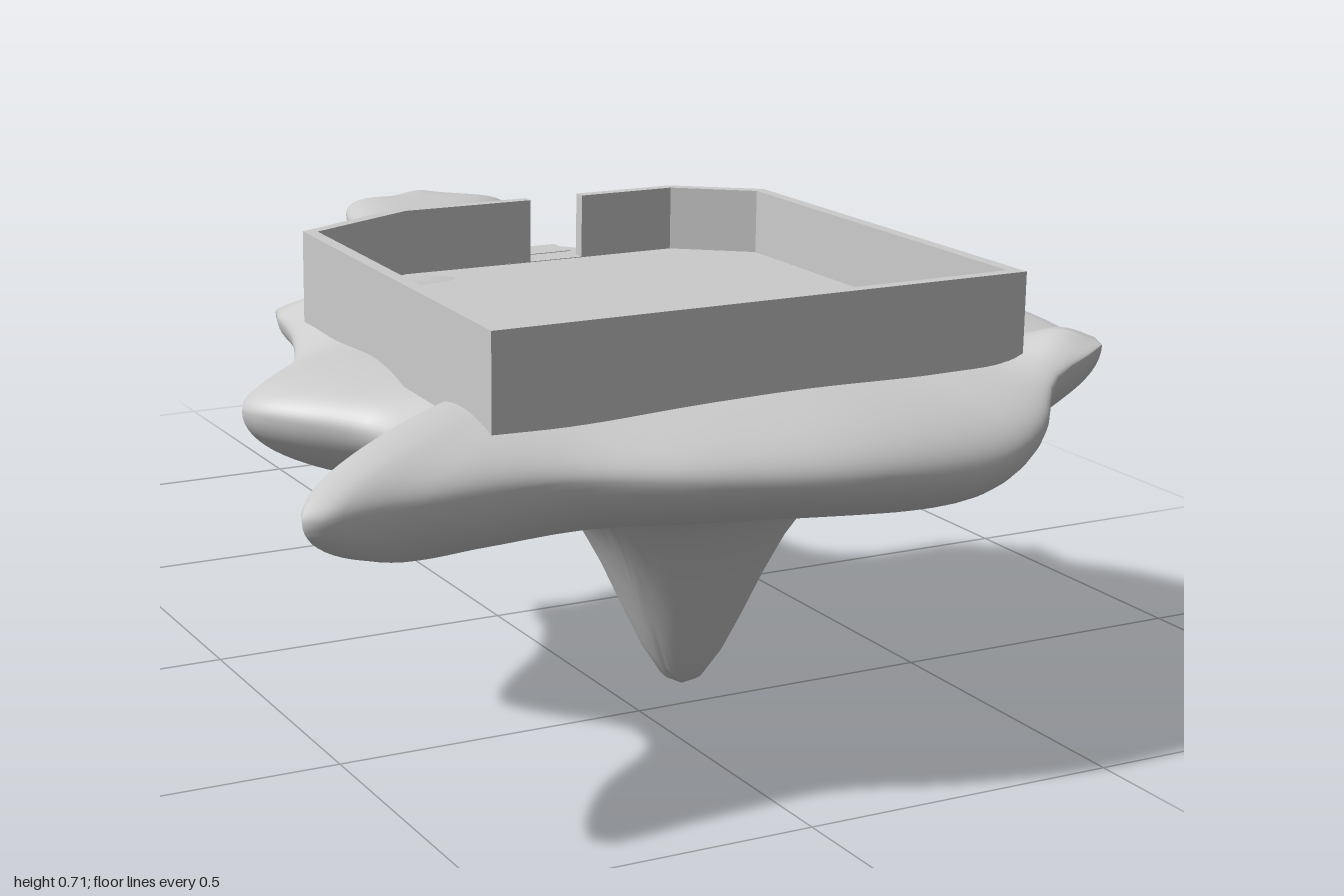
import * as THREE from 'three';
import { mergeVertices } from 'three/addons/utils/BufferGeometryUtils.js';

const material = new THREE.MeshStandardMaterial({ color: 0xcccccc, side: THREE.DoubleSide });
const bump = (x, z, cx, cz, rx, rz = rx, p = 1) =>
  Math.exp(-Math.pow(((x - cx) / rx) ** 2 + ((z - cz) / rz) ** 2, p));
const smooth = THREE.MathUtils.smoothstep;

function addMesh(group, name, geometry) {
  const mesh = new THREE.Mesh(geometry, material);
  mesh.name = name;
  group.add(mesh);
}

// Rock lofted from a closed rim [x, z, y]: rings shrink to the centre above and below.
function rock({ rim, centre, top, under, segments, rings }) {
  const curve = new THREE.CatmullRomCurve3(
    rim.map(([x, z, y]) => new THREE.Vector3(x, y, z)), true, 'centripetal');
  const outline = curve.getSpacedPoints(segments).slice(0, segments);
  const positions = [], index = [];
  for (let j = 0; j <= 2 * rings; j++) {
    const s = j === 2 * rings ? 0 : Math.sin((j / rings) * Math.PI / 2);
    const upper = j <= rings;
    const rise = Math.sqrt(Math.max(0, 1 - Math.pow(s, upper ? 4 : 3)));
    for (const p of outline) {
      const x = centre[0] + (p.x - centre[0]) * s;
      const z = centre[1] + (p.z - centre[1]) * s;
      const goal = upper ? top(x, z) : under(x, z);
      positions.push(x, p.y + (goal - p.y) * rise, z);
    }
  }
  for (let j = 0; j < 2 * rings; j++) {
    for (let i = 0; i < segments; i++) {
      const n = (i + 1) % segments;
      const a = j * segments + i, b = j * segments + n;
      const c = a + segments, d = b + segments;
      index.push(a, d, c, a, b, d);
    }
  }
  const geometry = new THREE.BufferGeometry();
  geometry.setAttribute('position', new THREE.Float32BufferAttribute(positions, 3));
  geometry.setIndex(index);
  const merged = mergeVertices(geometry, 1e-5);
  merged.computeVertexNormals();
  return merged;
}

// Plan outline [x, z] extruded downward from a given height.
function slab(points, topY, depth) {
  const shape = new THREE.Shape(points.map(([x, z]) => new THREE.Vector2(x, z)));
  return new THREE.ExtrudeGeometry(shape, { depth, bevelEnabled: false })
    .rotateX(Math.PI / 2).translate(0, topY, 0);
}

export function createModel() {
  const model = new THREE.Group();
  model.name = 'floatingIslands';

  // Main island with one long hanging spike
  addMesh(model, 'mainIsland', rock({
    rim: [
      [-0.38, -0.03, 0.56], [-0.31, -0.02, 0.55], [-0.19, -0.05, 0.55], [-0.02, -0.04, 0.55],
      [0.05, -0.09, 0.56], [0.21, -0.07, 0.55], [0.3, -0.02, 0.54], [0.42, 0, 0.53],
      [0.585, 0.15, 0.53], [0.675, 0.28, 0.54], [0.71, 0.4, 0.55], [0.69, 0.53, 0.56],
      [0.65, 0.66, 0.57], [0.575, 0.79, 0.6], [0.565, 0.86, 0.6], [0.48, 0.87, 0.56],
      [0.41, 0.94, 0.51], [0.32, 0.975, 0.48], [0.08, 0.99, 0.49], [-0.13, 0.95, 0.5],
      [-0.33, 0.89, 0.51], [-0.55, 0.9, 0.51], [-0.71, 0.91, 0.51], [-0.69, 0.85, 0.51],
      [-0.605, 0.75, 0.5], [-0.47, 0.64, 0.5], [-0.45, 0.555, 0.5], [-0.55, 0.43, 0.51],
      [-0.585, 0.355, 0.51], [-0.54, 0.285, 0.51], [-0.435, 0.175, 0.52], [-0.39, 0.06, 0.54],
    ],
    centre: [0.12, 0.42],
    top: (x, z) => 0.588 + 0.055 * bump(x, z, -0.3, 0.1, 0.09, 0.11)
      + 0.04 * bump(x, z, -0.15, 0.04, 0.12, 0.06)
      + 0.045 * bump(x, z, 0.53, 0.82, 0.06),
    under: (x, z) => 0.365 + 0.08 * smooth(x, 0.3, 0.65) + 0.07 * smooth(-z, -0.25, 0)
      + 0.012 * Math.sin(9 * x + 2) * Math.sin(8 * z) * (1 - bump(x, z, 0.12, 0.42, 0.25))
      - 0.365 * bump(x, z, 0.12, 0.42, 0.145),
    segments: 144, rings: 30,
  }));

  // Small stepping rock under the stairs
  addMesh(model, 'smallIsland', rock({
    rim: [
      [-0.035, -0.22, 0.53], [-0.02, -0.25, 0.53], [0.035, -0.26, 0.53], [0.03, -0.3, 0.53],
      [0.05, -0.34, 0.53], [0.11, -0.35, 0.53], [0.16, -0.36, 0.53], [0.2, -0.365, 0.53],
      [0.205, -0.32, 0.53], [0.235, -0.285, 0.53], [0.21, -0.225, 0.52], [0.16, -0.19, 0.51],
      [0.1, -0.165, 0.505], [0.04, -0.195, 0.51],
    ],
    centre: [0.11, -0.25],
    top: () => 0.557,
    under: (x, z) => 0.5 - 0.115 * bump(x, z, 0.11, -0.238, 0.045),
    segments: 56, rings: 14,
  }));

  // Long far island, thin at the stairs and heavy at its outer end
  addMesh(model, 'farIsland', rock({
    rim: [
      [0.035, -0.4, 0.525], [0.022, -0.5, 0.515], [0.02, -0.6, 0.52], [0.06, -0.755, 0.53],
      [0.13, -0.925, 0.53], [0.2, -0.94, 0.52], [0.305, -1, 0.505], [0.34, -0.945, 0.51],
      [0.43, -0.84, 0.51], [0.405, -0.77, 0.51], [0.325, -0.715, 0.51], [0.285, -0.61, 0.51],
      [0.26, -0.49, 0.515], [0.19, -0.435, 0.525], [0.12, -0.4, 0.525],
    ],
    centre: [0.21, -0.74],
    top: (x, z) => 0.525 + 0.04 * smooth(-z, 0.5, 0.8),
    under: (x, z) => 0.51 - 0.03 * smooth(-z, 0.45, 0.65)
      - 0.1 * bump(x, z, 0.25, -0.78, 0.14, 0.15, 1.5),
    segments: 96, rings: 18,
  }));

  // Courtyard wall, open at the back, around a flat floor
  const outer = [
    [0.06, -0.02], [-0.17, -0.025], [-0.375, 0.08], [-0.405, 0.815],
    [0.457, 0.815], [0.457, 0.08], [0.33, -0.02], [0.155, -0.02],
  ];
  const inner = [
    [0.06, 0], [-0.163, -0.004], [-0.355, 0.092], [-0.384, 0.795],
    [0.437, 0.795], [0.437, 0.09], [0.323, 0], [0.155, 0],
  ];
  addMesh(model, 'courtyardWall', slab([...outer, ...inner.slice().reverse()], 0.71, 0.15));
  addMesh(model, 'courtyardFloor', slab(inner, 0.606, 0.04));

  // Landing outside the opening
  addMesh(model, 'landing', slab([
    [0.02, 0], [0.02, -0.06], [0.055, -0.095], [0.16, -0.095], [0.19, -0.06], [0.19, 0],
  ], 0.607, 0.03));

  // Stepped walkway: flat treads joined by short slopes, extruded across its width
  const steps = [
    [0.05, 0.608], [0.11, 0.608], [0.13, 0.594], [0.18, 0.592], [0.2, 0.577], [0.25, 0.572],
    [0.27, 0.557], [0.32, 0.552], [0.34, 0.537], [0.39, 0.535], [0.44, 0.53],
  ];
  const profile = [...steps, ...steps.slice().reverse().map(([z, y]) => [z, y - 0.012])];
  const stairShape = new THREE.Shape(profile.map(([z, y]) => new THREE.Vector2(z, y)));
  const stairs = new THREE.ExtrudeGeometry(stairShape, { depth: 0.105, bevelEnabled: false });
  addMesh(model, 'stairs', stairs.rotateY(Math.PI / 2).translate(0.055, 0, 0));

  return model;
}
